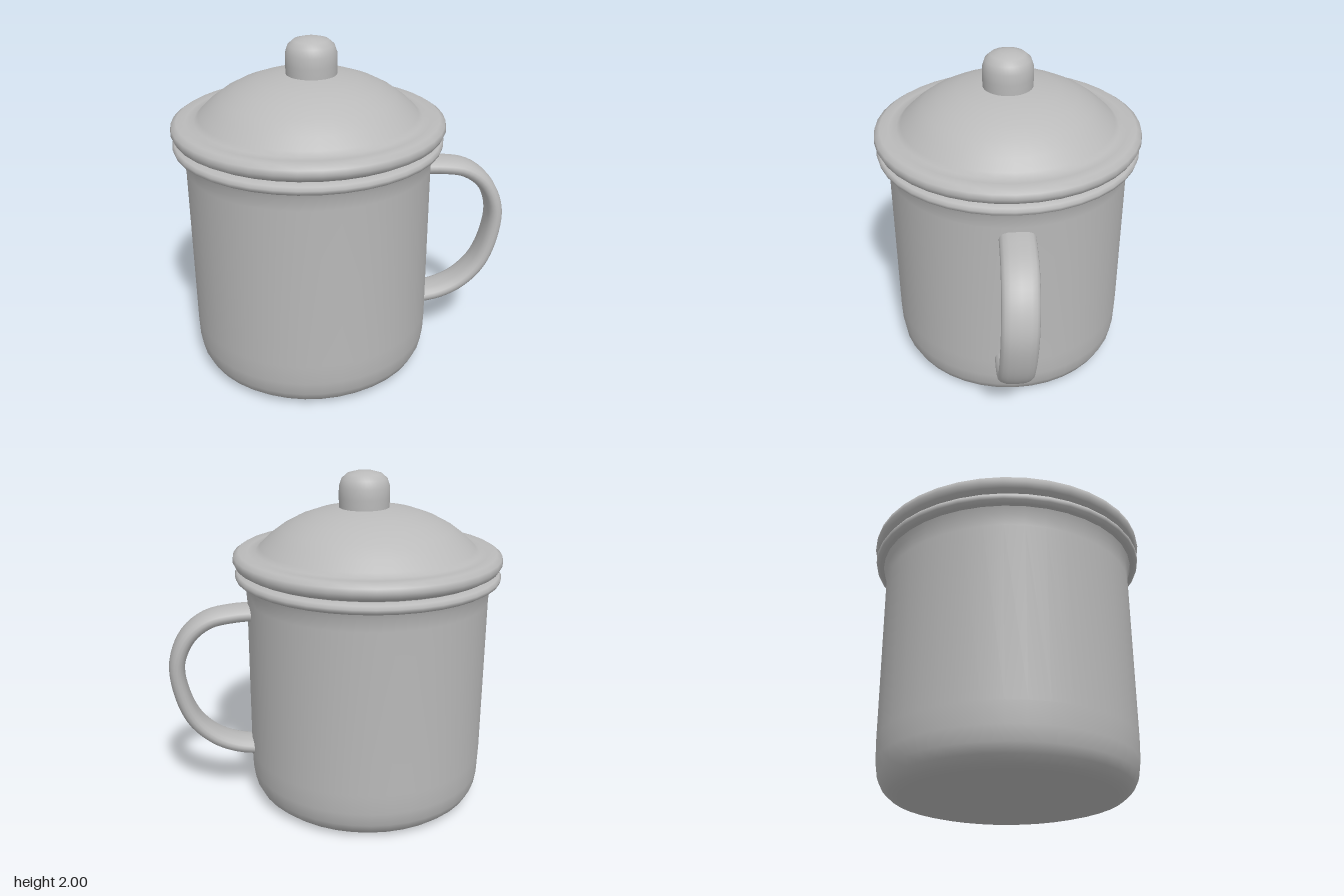
import * as THREE from 'three';
import { toCreasedNormals } from 'three/addons/utils/BufferGeometryUtils.js';

const enamel = new THREE.MeshStandardMaterial({ color: 0xbababa, side: THREE.DoubleSide });
enamel.name = 'grey enamel';

// Turned part from [radius, y] pairs, listed so that the outside faces out
function turned(name, points, x) {
  const profile = points.map(([r, y]) => new THREE.Vector2(r, y));
  const geometry = toCreasedNormals(new THREE.LatheGeometry(profile, 40), 0.9);
  const mesh = new THREE.Mesh(geometry, enamel);
  mesh.name = name;
  mesh.position.x = x;
  return mesh;
}

// Flat strap with rounded edges, bent along a curve in the xy plane
function strapHandle() {
  const path = new THREE.CatmullRomCurve3([
    [0.46, 1.2], [0.6, 1.195], [0.75, 1.165], [0.87, 1.07], [0.94, 0.9],
    [0.92, 0.7], [0.85, 0.53], [0.73, 0.41], [0.6, 0.35], [0.46, 0.325],
  ].map(([x, y]) => new THREE.Vector3(x, y, 0)));
  const thickness = 0.047, halfWidth = 0.103;
  const geometry = new THREE.TubeGeometry(path, 40, thickness, 16);
  const p = geometry.attributes.position;
  for (let i = 0; i < p.count; i++) {
    const s = p.getZ(i) / thickness;
    const lean = -0.033 * (p.getY(i) - 0.75); // slight tilt of the strap
    p.setZ(i, Math.sign(s) * Math.pow(Math.abs(s), 0.65) * halfWidth + lean);
  }
  const mesh = new THREE.Mesh(toCreasedNormals(geometry, 0.9), enamel);
  mesh.name = 'handle';
  return mesh;
}

export function createModel() {
  const model = new THREE.Group();
  model.name = 'lidded mug';
  const axis = -0.203;

  // Cup wall with rounded base and flared neck
  model.add(turned('cup', [
    [0, 0.01], [0.58, 0], [0.635, 0.015], [0.675, 0.05], [0.7, 0.1], [0.712, 0.18],
    [0.716, 0.3], [0.716, 1.27], [0.722, 1.34], [0.74, 1.385],
  ], axis));

  // Rolled rim of the cup
  model.add(turned('cupRim', [
    [0.72, 1.375], [0.755, 1.378], [0.777, 1.392], [0.782, 1.412], [0.77, 1.43], [0.72, 1.436],
  ], axis));

  // Lid with a rolled edge and a shallow dome
  model.add(turned('lid', [
    [0.68, 1.435], [0.74, 1.445], [0.775, 1.465], [0.79, 1.495], [0.785, 1.525], [0.755, 1.545],
    [0.7, 1.543], [0.655, 1.545], [0.63, 1.567], [0.57, 1.625], [0.5, 1.677], [0.41, 1.725],
    [0.3, 1.765], [0.17, 1.79], [0, 1.8],
  ], -0.2));

  // Knob on the lid
  model.add(turned('lidKnob', [
    [0.145, 1.77], [0.148, 1.85], [0.147, 1.91], [0.132, 1.955], [0.1, 1.983], [0.05, 1.997], [0, 2],
  ], -0.18));

  model.add(strapHandle());
  return model;
}
